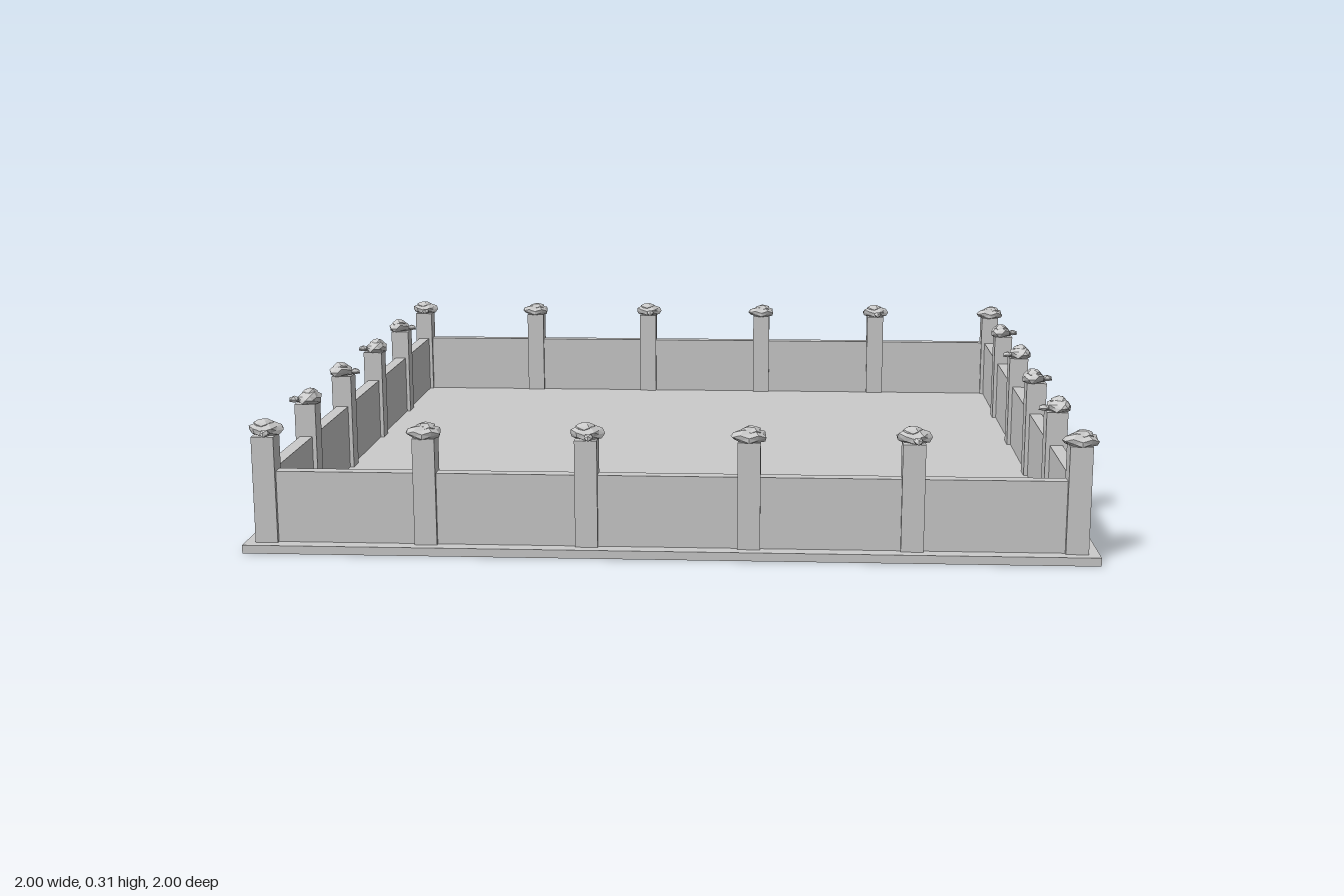
import * as THREE from 'three';

const material = new THREE.MeshStandardMaterial({ color: 0xcccccc, flatShading: true });
const EDGE = 0.948; // distance of the fence line from the centre

function part(name, geometry, x = 0, y = 0, z = 0) {
  const mesh = new THREE.Mesh(geometry, material);
  mesh.name = name;
  mesh.position.set(x, y, z);
  return mesh;
}

// Faceted stone lump, roughened by a fixed wave of its vertex positions
function lump(rx, ry, rz, detail, rough) {
  const g = new THREE.IcosahedronGeometry(1, detail);
  const p = g.attributes.position;
  for (let i = 0; i < p.count; i++) {
    const x = p.getX(i), y = p.getY(i), z = p.getZ(i);
    const k = 1 + rough * Math.sin(5 * x + 3 * y) * Math.cos(4 * z - 2 * x);
    // flattened underside
    p.setXYZ(i, x * rx * k, Math.max(y, -0.7) * ry * k, z * rz * k);
  }
  g.computeVertexNormals();
  return g;
}

const bodyGeometry = lump(0.041, 0.019, 0.03, 1, 0.16);
const crestGeometry = lump(0.024, 0.014, 0.02, 1, 0.15);
const noseGeometry = lump(0.012, 0.01, 0.015, 0, 0.1);
const postGeometry = new THREE.BoxGeometry(0.053, 0.255, 0.053);

// Post with a carved finial; turn points the finial's nose
function makePost(x, z, turn) {
  const post = new THREE.Group();
  post.name = 'post';
  post.position.set(x, 0, z);
  post.add(part('postShaft', postGeometry, 0, 0.1475, 0));
  const finial = new THREE.Group();
  finial.name = 'finial';
  finial.position.y = 0.287;
  finial.rotation.y = turn;
  finial.add(
    part('finialBody', bodyGeometry, 0, 0, -0.006),
    part('finialCrest', crestGeometry, -0.004, 0.011, -0.006),
    part('finialNose', noseGeometry, 0.008, -0.003, 0.031)
  );
  post.add(finial);
  return post;
}

export function createModel() {
  const model = new THREE.Group();
  model.name = 'walledPlatform';

  // Floor slab
  model.add(part('floorSlab', new THREE.BoxGeometry(2, 0.02, 2), 0, 0.01, 0));

  // Four low walls
  const length = 2 * EDGE;
  const alongX = new THREE.BoxGeometry(length, 0.172, 0.032);
  const alongZ = new THREE.BoxGeometry(0.032, 0.172, length);
  for (const s of [-1, 1]) {
    model.add(part(s > 0 ? 'frontWall' : 'backWall', alongX, 0, 0.105, s * EDGE));
    model.add(part(s > 0 ? 'leftWall' : 'rightWall', alongZ, s * EDGE, 0.105, 0));
  }

  // Six posts per side, with finials alternately turned about
  for (let i = 0; i < 6; i++) {
    const t = -EDGE + (i * length) / 5;
    for (const s of [-1, 1]) {
      model.add(makePost(t, s * EDGE, i % 2 ? Math.PI : 0));
      if (i > 0 && i < 5) model.add(makePost(s * EDGE, t, i % 2 ? Math.PI / 2 : -Math.PI / 2));
    }
  }
  return model;
}
